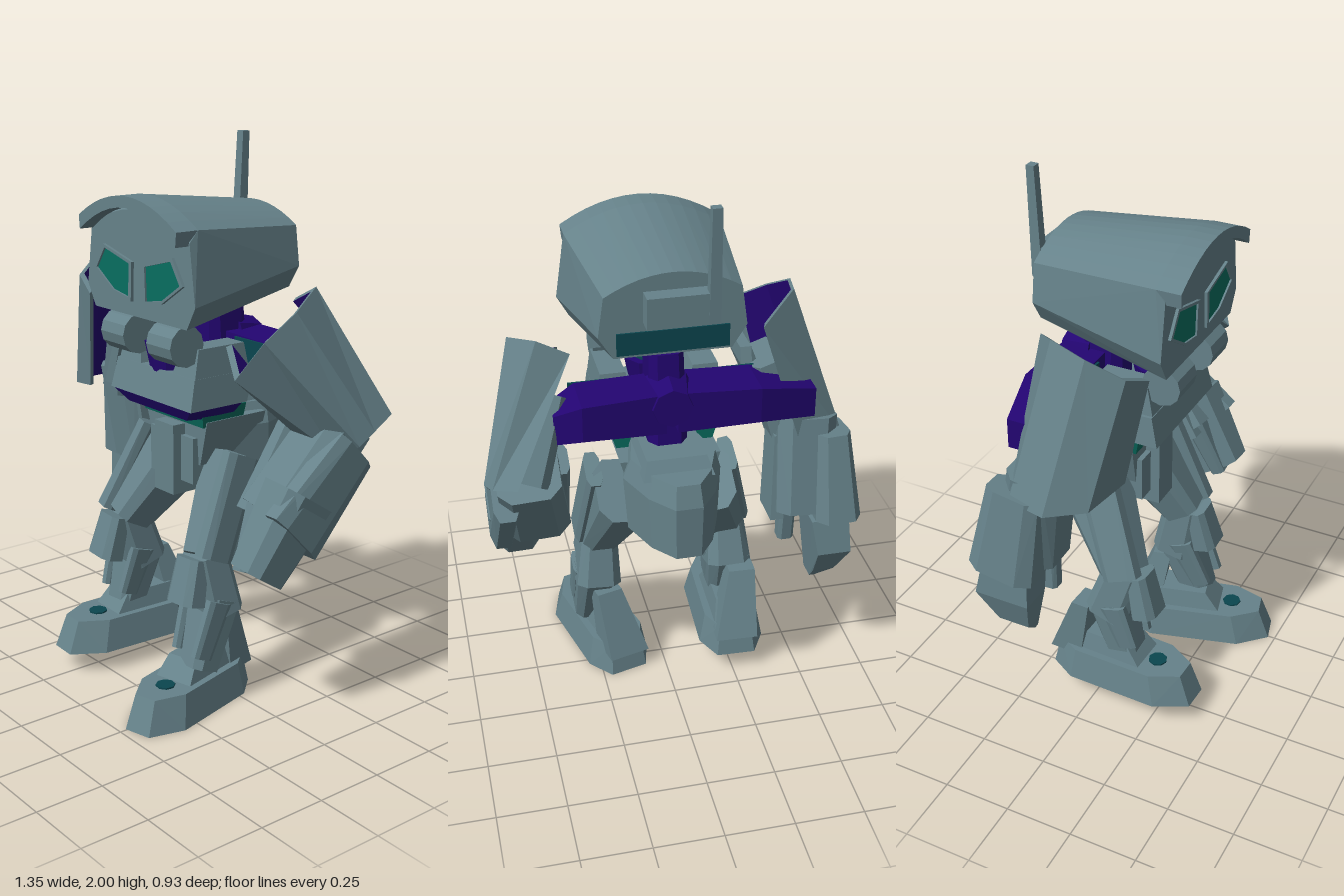
import * as THREE from 'three';
import { ConvexGeometry } from 'three/addons/geometries/ConvexGeometry.js';

const paint = (name, color) => {
  const m = new THREE.MeshStandardMaterial({ color, flatShading: true, side: THREE.DoubleSide });
  m.name = name;
  return m;
};

export function createModel() {
  const grey = paint('armourGrey', 0x66828a);
  const purple = paint('framePurple', 0x230572);
  const teal = paint('darkTeal', 0x0b464f);
  const green = paint('eyeGreen', 0x086e60);
  const model = new THREE.Group();
  model.name = 'walkingRobot';
  const section = (name) => {
    const g = new THREE.Group();
    g.name = name;
    model.add(g);
    return g;
  };
  const add = (parent, name, geo, mat) => {
    const m = new THREE.Mesh(geo, mat);
    m.name = name;
    parent.add(m);
    return m;
  };
  const vec = (p) => new THREE.Vector3(...p);
  const hull = (parent, name, pts, mat = grey) => add(parent, name, new ConvexGeometry(pts.map(vec)), mat);
  const box = (parent, name, x0, x1, y0, y1, z0, z1, mat = grey) => {
    const m = add(parent, name, new THREE.BoxGeometry(x1 - x0, y1 - y0, z1 - z0), mat);
    m.position.set((x0 + x1) / 2, (y0 + y1) / 2, (z0 + z1) / 2);
    return m;
  };
  // Horizontal and sideways rectangles used as cross-sections
  const rect = (y, x0, x1, z0, z1) => [[x0, y, z0], [x1, y, z0], [x1, y, z1], [x0, y, z1]];
  const slice = (x, y0, y1, z0, z1) => [[x, y0, z0], [x, y1, z0], [x, y1, z1], [x, y0, z1]];
  // Tapered bar with chamfered corners between two points
  const limb = (parent, name, a, b, sa, sb, mat = grey) => {
    const A = vec(a), B = vec(b), dir = B.clone().sub(A).normalize();
    const u = new THREE.Vector3(1, 0, 0);
    u.addScaledVector(dir, -u.dot(dir)).normalize();
    const v = dir.clone().cross(u);
    const pts = [];
    for (const [c, s] of [[A, sa], [B, sb]])
      for (const i of [-1, 1]) for (const j of [-1, 1])
        for (const [p, q] of [[0.5, 0.3], [0.3, 0.5]])
          pts.push(c.clone().addScaledVector(u, i * p * s[0]).addScaledVector(v, j * q * s[1]));
    return add(parent, name, new ConvexGeometry(pts), mat);
  };
  // Band of quads between two open rows of points
  const strip = (parent, name, r0, r1, mat) => {
    const pos = [];
    for (let i = 0; i < r0.length - 1; i++)
      pos.push(...r0[i], ...r1[i], ...r0[i + 1], ...r0[i + 1], ...r1[i], ...r1[i + 1]);
    const g = new THREE.BufferGeometry();
    g.setAttribute('position', new THREE.Float32BufferAttribute(pos, 3));
    g.computeVertexNormals();
    return add(parent, name, g, mat);
  };
  // Thick open sleeve with a lining in the frame colour
  const sleeve = (parent, top, bottom) => {
    const inset = (row) => {
      const c = [0, 1, 2].map((k) => row.reduce((s, p) => s + p[k], 0) / row.length);
      return row.map((p) => p.map((n, k) => c[k] + (n - c[k]) * 0.87));
    };
    const ti = inset(top), bi = inset(bottom);
    strip(parent, 'shoulderSleeve', top, bottom, grey);
    strip(parent, 'sleeveLining', ti, bi, purple);
    strip(parent, 'sleeveTopRim', top, ti, grey);
    strip(parent, 'sleeveBottomRim', bottom, bi, grey);
    for (const k of [0, top.length - 1]) strip(parent, 'sleeveEdge', [top[k], bottom[k]], [ti[k], bi[k]], grey);
  };

  // Head: arched roof lofted from a large front to a smaller back
  const head = section('head');
  const CX = 0.02;
  const arch = (w, y, rise) => Array.from({ length: 13 }, (_, i) => {
    const t = i / 6 - 1;
    return [CX + t * w, y + rise * (1 - t * t)];
  });
  const at = (pts, z) => pts.map(([x, y]) => [x, y, z]);
  const sides = (list) => list.flatMap(([w, y]) => [[CX - w, y], [CX + w, y]]);
  hull(head, 'headShell', [
    ...at(arch(0.28, 1.73, 0.09), 0.2),
    ...at([...arch(0.28, 1.69, 0.08), ...sides([[0.31, 1.48], [0.265, 1.4]])], 0.235),
    ...at([...arch(0.23, 1.7, 0.07), ...sides([[0.25, 1.56], [0.2, 1.48]])], -0.275),
  ]);
  const extrude = (outline, depth, hole) => {
    const s = new THREE.Shape(outline.map((p) => new THREE.Vector2(...p)));
    if (hole) s.holes.push(new THREE.Path(hole.map((p) => new THREE.Vector2(...p))));
    return new THREE.ExtrudeGeometry(s, { depth, bevelEnabled: false });
  };
  add(head, 'browVisor', extrude([...arch(0.28, 1.73, 0.09), ...arch(0.275, 1.68, 0.1).reverse()], 0.09), grey).position.z = 0.2;
  const eye = [[-0.24, 0], [-0.19, 0.075], [-0.045, 0.038], [-0.05, -0.08], [-0.14, -0.065]];
  for (const s of [-1, 1]) {
    const inner = eye.map(([x, y]) => [CX - s * x, 1.545 + y]);
    const outer = eye.map(([x, y]) => [CX - s * (-0.14 + (x + 0.14) * 1.17), 1.545 + y * 1.17]);
    add(head, 'eye', extrude(inner, 0.007), green).position.z = 0.232;
    add(head, 'eyeFrame', extrude(outer, 0.016, inner), grey).position.z = 0.23;
    const jaw = add(head, 'jawRoll', new THREE.CylinderGeometry(0.072, 0.072, 0.135, 12), grey);
    jaw.rotation.z = Math.PI / 2;
    jaw.position.set(CX + s * 0.135, 1.325, 0.185);
  }
  box(head, 'rearVent', -0.17, 0.21, 1.49, 1.57, -0.281, -0.273, teal);
  hull(head, 'rearPack', [...rect(1.6, -0.12, 0.12, -0.335, -0.27), ...rect(1.71, -0.12, 0.12, -0.335, -0.27)]);
  hull(head, 'antenna', [...rect(1.6, -0.125, -0.085, -0.335, -0.295), ...rect(2, -0.12, -0.087, -0.345, -0.315)]);

  // Torso: chest, collar, and the exposed frame behind it
  const torso = section('torso');
  add(torso, 'neck', new THREE.CylinderGeometry(0.065, 0.065, 0.24, 10), teal).position.set(CX, 1.35, 0.08);
  add(torso, 'collar', new THREE.CylinderGeometry(0.1, 0.08, 0.1, 10), purple).position.set(CX, 1.25, 0.09);
  hull(torso, 'chest', [...rect(1.21, -0.21, 0.24, -0.1, 0.165), ...rect(1.1, -0.22, 0.25, -0.06, 0.19)]);
  for (const s of [-1, 1]) {
    const x = (n) => CX + s * n;
    hull(torso, 'chestLobe', [...rect(1.2, x(0.09), x(0.22), -0.08, 0.165), ...rect(1.31, x(0.12), x(0.21), -0.06, 0.14)]);
    // Shoulder beam with an elbow, teal on its front
    const tip = s < 0 ? -0.5 : 0.42;
    hull(torso, 'shoulderBeam', [...slice(x(0.02), 1.17, 1.32, -0.27, -0.1), ...slice(x(0.31), 1.18, 1.31, -0.28, -0.1)], purple);
    hull(torso, 'shoulderBeamEnd', [...slice(x(0.31), 1.18, 1.31, -0.28, -0.1), ...slice(tip, 1.15, 1.26, -0.23, -0.12)], purple);
    box(torso, 'beamFront', Math.min(x(0.12), x(0.33)), Math.max(x(0.12), x(0.33)), 1.175, 1.31, -0.1, -0.092, teal);
  }
  hull(torso, 'chestLining', [...rect(1.1, -0.21, 0.24, -0.05, 0.187), [-0.15, 1.055, 0.16], [0.19, 1.055, 0.16], [-0.13, 1.03, -0.05], [0.17, 1.03, -0.05]], purple);
  hull(torso, 'belly', [...rect(1.08, -0.18, 0.2, -0.1, 0.1), ...rect(1.01, -0.16, 0.18, -0.1, 0.08)], green);
  limb(torso, 'spine', [CX, 1.08, -0.14], [CX, 1.43, -0.12], [0.14, 0.18], [0.12, 0.16], purple);
  const hub = add(torso, 'backHub', new THREE.CylinderGeometry(0.07, 0.1, 0.12, 8), purple);
  hub.rotation.x = -Math.PI / 2;
  hub.position.set(CX, 1.27, -0.22);

  // Pelvis: waist, front guard and faceted rear tank
  const pelvis = section('pelvis');
  hull(pelvis, 'waist', [...rect(1.03, -0.17, 0.19, -0.2, 0.07), ...rect(0.86, -0.12, 0.14, -0.2, 0.06)]);
  box(pelvis, 'frontGuard', -0.05, 0.06, 0.74, 1.0, 0, 0.12);
  box(pelvis, 'sideGuards', -0.12, 0.13, 0.79, 0.96, -0.02, 0.085);
  const tank = [[-0.045, -0.46], [0.05, -0.46], [0.125, -0.37], [0.185, -0.22], [0.15, -0.06], [-0.12, -0.06], [-0.165, -0.22], [-0.11, -0.37]];
  hull(pelvis, 'rearTank', [[1.06, 0.86, -0.04], [0.98, 1, 0], [0.78, 0.93, -0.03]].flatMap(
    ([y, s, dz]) => tank.map(([x, z]) => [x * s, y, z * s + dz])));
  hull(pelvis, 'beltBlock', [...rect(1.04, -0.11, 0.14, -0.36, -0.1), ...rect(1.1, -0.09, 0.12, -0.32, -0.1)]);

  // Right arm hangs down
  const rightArm = section('rightArm');
  sleeve(rightArm,
    [[-0.32, 1.43, 0.21], [-0.43, 1.48, 0.18], [-0.48, 1.55, 0.06], [-0.45, 1.575, -0.08], [-0.31, 1.5, -0.2]],
    [[-0.4, 1.06, 0.16], [-0.57, 1.03, 0.11], [-0.65, 1.02, -0.02], [-0.63, 1.03, -0.16], [-0.45, 1.06, -0.21]]);
  limb(rightArm, 'upperArm', [-0.36, 1.32, -0.04], [-0.46, 1.02, -0.07], [0.14, 0.22], [0.16, 0.2]);
  hull(rightArm, 'innerPlate', [...rect(1.3, -0.31, -0.27, -0.08, 0.1), ...rect(1.36, -0.31, -0.27, -0.06, 0.06), ...rect(1.06, -0.42, -0.37, -0.1, 0.08)]);
  limb(rightArm, 'forearm', [-0.5, 1.1, -0.1], [-0.48, 0.74, -0.16], [0.22, 0.2], [0.2, 0.22]);
  limb(rightArm, 'forearmGuard', [-0.585, 1.05, -0.15], [-0.6, 0.72, -0.2], [0.12, 0.2], [0.17, 0.25]);
  hull(rightArm, 'wristPlate', [...rect(1.04, -0.42, -0.38, -0.16, -0.04), ...rect(0.72, -0.41, -0.36, -0.22, -0.08)]);
  hull(rightArm, 'hand', [...rect(0.73, -0.64, -0.5, -0.28, -0.1), ...rect(0.6, -0.645, -0.52, -0.31, -0.1), ...rect(0.43, -0.55, -0.53, -0.2, -0.13), ...rect(0.48, -0.61, -0.53, -0.24, -0.12)]);
  limb(rightArm, 'thumb', [-0.45, 0.76, -0.12], [-0.45, 0.57, -0.11], [0.06, 0.08], [0.06, 0.06]);

  // Left arm is drawn back at the elbow, with the hand forward
  const leftArm = section('leftArm');
  sleeve(leftArm,
    [[0.35, 1.34, 0.12], [0.45, 1.25, 0.165], [0.52, 1.38, 0.1], [0.54, 1.47, -0.02], [0.46, 1.525, -0.18], [0.35, 1.47, -0.19]],
    [[0.44, 1.03, -0.1], [0.58, 0.96, -0.18], [0.65, 1.0, -0.22], [0.67, 1.05, -0.27], [0.65, 1.09, -0.37], [0.57, 1.1, -0.41]]);
  limb(leftArm, 'upperArm', [0.42, 1.28, -0.1], [0.53, 1.02, -0.24], [0.13, 0.18], [0.16, 0.18]);
  limb(leftArm, 'forearm', [0.52, 1.06, -0.25], [0.47, 0.74, 0], [0.22, 0.2], [0.24, 0.22]);
  limb(leftArm, 'forearmGuard', [0.6, 0.98, -0.23], [0.6, 0.72, 0.04], [0.09, 0.2], [0.09, 0.26]);
  limb(leftArm, 'wristPlate', [0.4, 1.05, -0.16], [0.39, 0.74, 0.02], [0.07, 0.12], [0.08, 0.14]);
  limb(leftArm, 'hand', [0.55, 0.84, -0.04], [0.53, 0.58, 0.13], [0.2, 0.24], [0.15, 0.18]);
  limb(leftArm, 'thumb', [0.44, 0.8, 0.04], [0.47, 0.58, 0.14], [0.07, 0.08], [0.06, 0.06]);

  // Legs share parts; each is given by its hip, knee, ankle and foot placement
  const sole = [[-0.05, 0.29], [0.05, 0.29], [0.115, 0.17], [0.12, -0.18], [0.07, -0.28], [-0.07, -0.28], [-0.12, -0.18], [-0.115, 0.17]];
  const leg = (name, side, hip, knee, ankle, footPos, yaw) => {
    const g = section(name);
    const off = (p, x, y, z) => [p[0] + side * x, p[1] + y, p[2] + z];
    limb(g, 'thigh', hip, knee, [0.21, 0.25], [0.14, 0.16]);
    limb(g, 'thighPlate', off(hip, 0.1, 0.06, 0.07), off(knee, 0.06, 0.02, 0.02), [0.06, 0.15], [0.07, 0.14]);
    limb(g, 'kneeCap', off(knee, 0, 0.02, 0.06), off(knee, 0.01, -0.14, 0.1), [0.12, 0.08], [0.14, 0.1]);
    const calf = [0, 1, 2].map((k) => (knee[k] + ankle[k]) / 2 + (k === 2 ? -0.06 : 0));
    limb(g, 'upperShin', off(knee, 0, 0.03, 0.01), calf, [0.13, 0.15], [0.17, 0.17]);
    limb(g, 'lowerShin', off(calf, 0, 0.05, 0), ankle, [0.16, 0.16], [0.13, 0.12]);
    for (const s of [-1, 1])
      limb(g, 'shinRib', off(calf, s * 0.07, 0.06, 0.04), off(ankle, s * 0.055, 0.06, 0.03), [0.04, 0.1], [0.035, 0.08]);
    const foot = new THREE.Group();
    foot.name = 'foot';
    foot.position.set(...footPos);
    foot.rotation.y = yaw;
    g.add(foot);
    hull(foot, 'sole', [...sole.map(([x, z]) => [x * 1.04, 0, z]), ...sole.map(([x, z]) => [x * 0.86, 0.12, z * 0.88 - 0.01])]);
    hull(foot, 'instep', [...rect(0.1, -0.08, 0.08, -0.24, 0.1), ...rect(0.19, -0.06, 0.06, -0.17, 0.03)]);
    add(foot, 'toeInlay', new THREE.CylinderGeometry(0.035, 0.035, 0.008, 8), teal).position.set(0, 0.122, 0.13);
    const fx = side * 0.035;
    hull(foot, 'heelFin', [...rect(0.08, -0.08, 0.08, -0.29, -0.16), ...rect(0.33, fx - 0.05, fx + 0.05, -0.19, -0.12)]);
  };
  leg('rightLeg', -1, [-0.14, 0.85, -0.1], [-0.265, 0.56, 0.09], [-0.27, 0.21, 0.1], [-0.27, 0.08, 0.1], -0.04);
  leg('leftLeg', 1, [0.16, 0.85, -0.1], [0.225, 0.54, 0.1], [0.255, 0.15, 0.16], [0.22, 0, 0.18], 0.26);

  return model;
}
